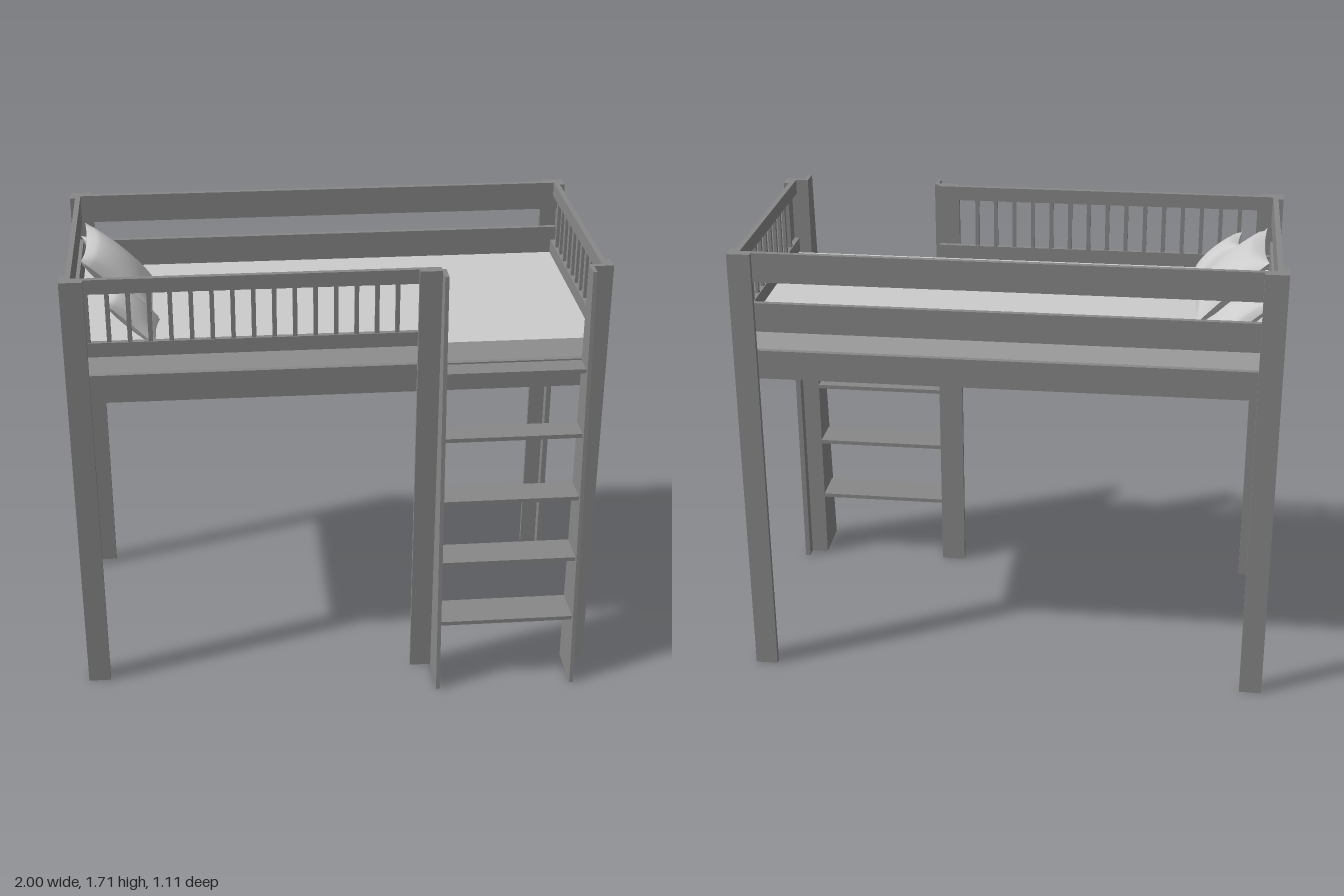
import * as THREE from 'three';
import { mergeGeometries } from 'three/addons/utils/BufferGeometryUtils.js';

const wood = new THREE.MeshStandardMaterial({ color: 0x888888 });
const fabric = new THREE.MeshStandardMaterial({ color: 0xcccccc });

// Box given by its min and max on each axis
function box(parent, name, x0, x1, y0, y1, z0, z1, material = wood) {
  const mesh = new THREE.Mesh(new THREE.BoxGeometry(x1 - x0, y1 - y0, z1 - z0), material);
  mesh.position.set((x0 + x1) / 2, (y0 + y1) / 2, (z0 + z1) / 2);
  mesh.name = name;
  parent.add(mesh);
  return mesh;
}

// Puffed cushion with pulled-in sides and pointed corners, lying in XY
function pillow(parent, name, width, height, depth, position, yaw, lean, roll = 0) {
  const sides = [1, -1].map((s) => {
    const g = new THREE.PlaneGeometry(2, 2, 16, 16);
    if (s < 0) g.rotateY(Math.PI);
    const p = g.attributes.position;
    for (let i = 0; i < p.count; i++) {
      const u = p.getX(i), v = p.getY(i);
      const puff = Math.pow(Math.max(0, (1 - u * u) * (1 - v * v)), 0.45);
      p.setXYZ(i,
        u * (1 - 0.1 * (1 - v * v)) * width / 2,
        v * (1 - 0.1 * (1 - u * u)) * height / 2,
        s * puff * depth / 2);
    }
    g.computeVertexNormals();
    return g;
  });
  const mesh = new THREE.Mesh(mergeGeometries(sides), fabric);
  mesh.name = name;
  mesh.position.set(...position);
  mesh.rotation.set(-lean, yaw, roll, 'YXZ');
  parent.add(mesh);
}

export function createModel() {
  const model = new THREE.Group();
  model.name = 'loftBed';
  const X = 0.993, front = 0.39, back = -0.543, top = 1.705, t = 0.02;

  // Corner posts, each an L of two planks
  for (const sx of [-1, 1]) {
    for (const sz of [-1, 1]) {
      const post = new THREE.Group();
      post.name = 'cornerPost';
      const p = box(post, 'postFace', -0.085, 0, 0, top, -t, 0);
      const q = box(post, 'postSide', -t, 0, 0, top, -0.065, -t);
      for (const m of [p, q]) {
        m.position.x *= sx;
        m.position.z *= sz;
      }
      post.position.set(sx * X, 0, sz > 0 ? front : back);
      model.add(post);
    }
  }

  // Middle post beside the ladder opening
  box(model, 'middlePost', 0.29, 0.372, 0, top, front - t, front);

  // Bed frame: side rails, end rails and base panel
  const xi = X - t, zf = front - t, zb = back + t;
  const boards = [[1.22, 1.33], [1.405, 1.515], [1.595, top]];
  box(model, 'frontFrameRail', -xi, xi, 1.22, 1.33, zf - t, zf);
  box(model, 'rightFrameRail', xi - t, xi, 1.22, 1.33, zb, zf);
  for (const [y0, y1] of boards) {
    box(model, 'backBoard', -xi, xi, y0, y1, zb, zb + t);
    box(model, 'endBoard', -xi, -xi + t, y0, y1, zb, zf);
  }
  box(model, 'basePanel', -xi + t, xi - t, 1.225, 1.245, zb + t, zf - t);

  // Slatted guard rails on the front and the far end
  for (const [y0, y1] of [[1.405, 1.46], [1.65, top]]) {
    box(model, 'frontGuardRail', -xi, 0.372, y0, y1, zf - t, zf);
    box(model, 'endGuardRail', xi - t, xi, y0, y1, zb, zf);
  }
  for (let i = 0; i < 16; i++) {
    const x = 0.215 - i * 0.0745;
    box(model, 'frontSlat', x - 0.008, x + 0.008, 1.46, 1.65, zf - 0.016, zf - 0.004);
  }
  for (let i = 0; i < 10; i++) {
    const z = 0.255 - i * 0.075;
    box(model, 'endSlat', xi - 0.016, xi - 0.004, 1.46, 1.65, z - 0.008, z + 0.008);
  }

  // Ladder: tapered stringers and five treads
  const ladder = new THREE.Group();
  ladder.name = 'ladder';
  const outline = new THREE.Shape([[-0.56, 0], [-0.37, 0], [-0.37, top], [-0.445, top]]
    .map(([x, y]) => new THREE.Vector2(x, y)));
  for (const x of [0.372, 0.905]) {
    const g = new THREE.ExtrudeGeometry(outline, { depth: 0.015, bevelEnabled: false });
    g.rotateY(Math.PI / 2);
    const stringer = new THREE.Mesh(g, wood);
    stringer.position.x = x;
    stringer.name = 'ladderStringer';
    ladder.add(stringer);
  }
  for (let i = 0; i < 5; i++) {
    const y = 0.28 + i * 0.259;
    box(ladder, 'ladderTread', 0.387, 0.905, y - 0.008, y + 0.008, 0.37, 0.54 - 0.0674 * y);
  }
  model.add(ladder);

  // Mattress and pillows
  box(model, 'mattress', -xi + t, xi - t, 1.245, 1.405, zb + t, zf - t, fabric);
  const q = Math.PI / 2;
  pillow(model, 'largePillow', 0.4, 0.36, 0.12, [-0.8, 1.54, -0.11], q, 0.8);
  pillow(model, 'frontPillow', 0.22, 0.25, 0.08, [-0.745, 1.5, 0.19], q - 0.12, 0.8, 0.08);
  pillow(model, 'backPillow', 0.2, 0.25, 0.08, [-0.83, 1.49, -0.38], q + 0.35, 0.95);

  // Whole bed stands slightly turned
  model.rotation.y = 0.0135;
  return model;
}
